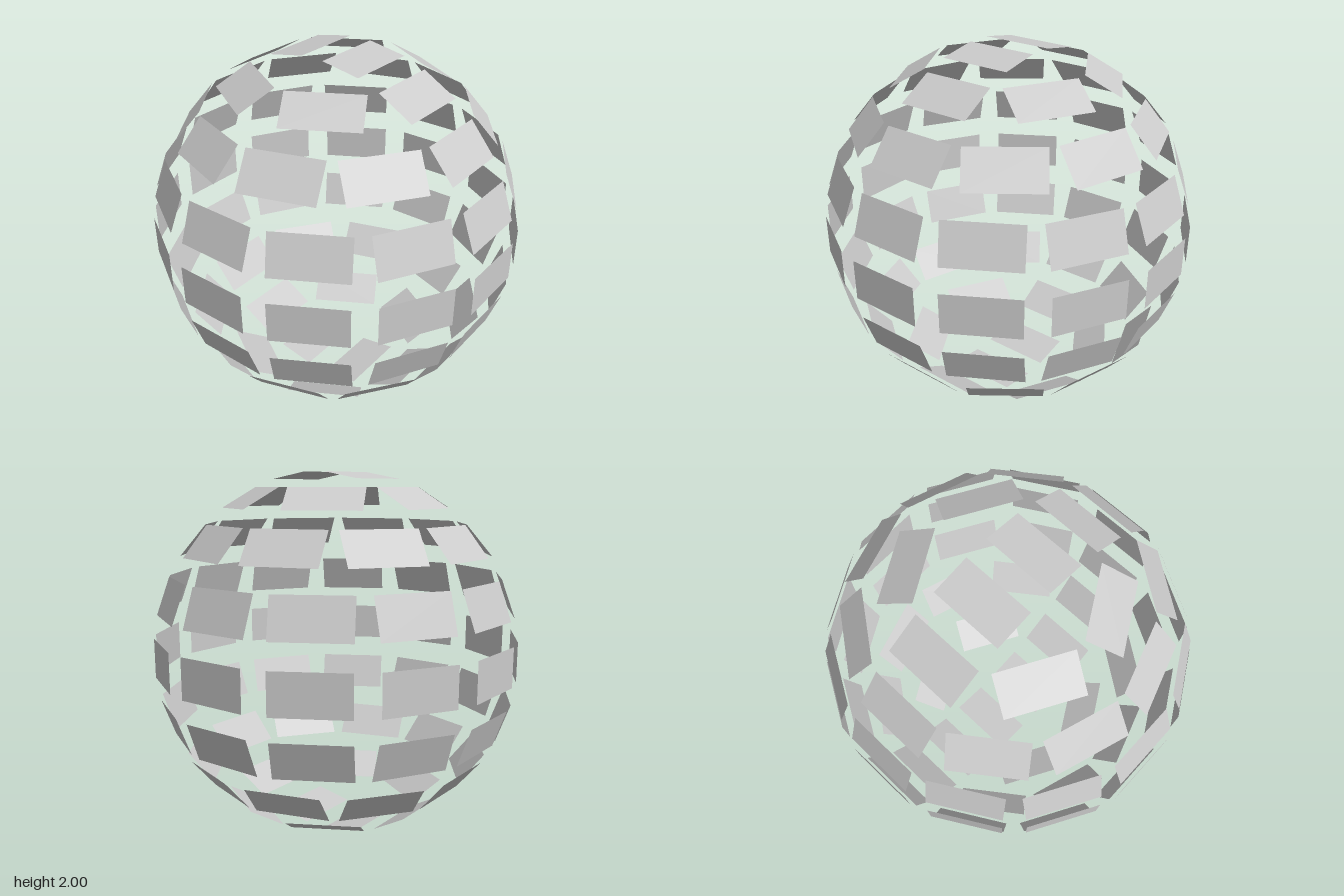
import * as THREE from 'three';

const RADIUS = 0.996;
const rad = THREE.MathUtils.degToRad;

export function createModel() {
  const model = new THREE.Group();
  model.name = 'panelSphere';

  const material = new THREE.MeshStandardMaterial({ color: 0xcccccc, side: THREE.DoubleSide });
  const panelGeometry = new THREE.PlaneGeometry(0.4, 0.219);

  // Panels per ring for each latitude, mirrored above and below the equator
  const panelCounts = { 0: 12, 20: 12, 40: 10, 60: 6, 80: 2 };

  for (let latitude = -80; latitude <= 80; latitude += 20) {
    const ring = new THREE.Group();
    ring.name = `panelRing${latitude}`;
    ring.position.y = 1;
    const count = panelCounts[Math.abs(latitude)];

    // Each panel lies tangent to the sphere; every ring starts at +x
    for (let i = 0; i < count; i++) {
      const panel = new THREE.Mesh(panelGeometry, material);
      panel.name = 'panel';
      panel.rotation.set(-rad(latitude), Math.PI / 2 + (i / count) * Math.PI * 2, 0, 'YXZ');
      panel.translateZ(RADIUS);
      ring.add(panel);
    }
    model.add(ring);
  }
  return model;
}
